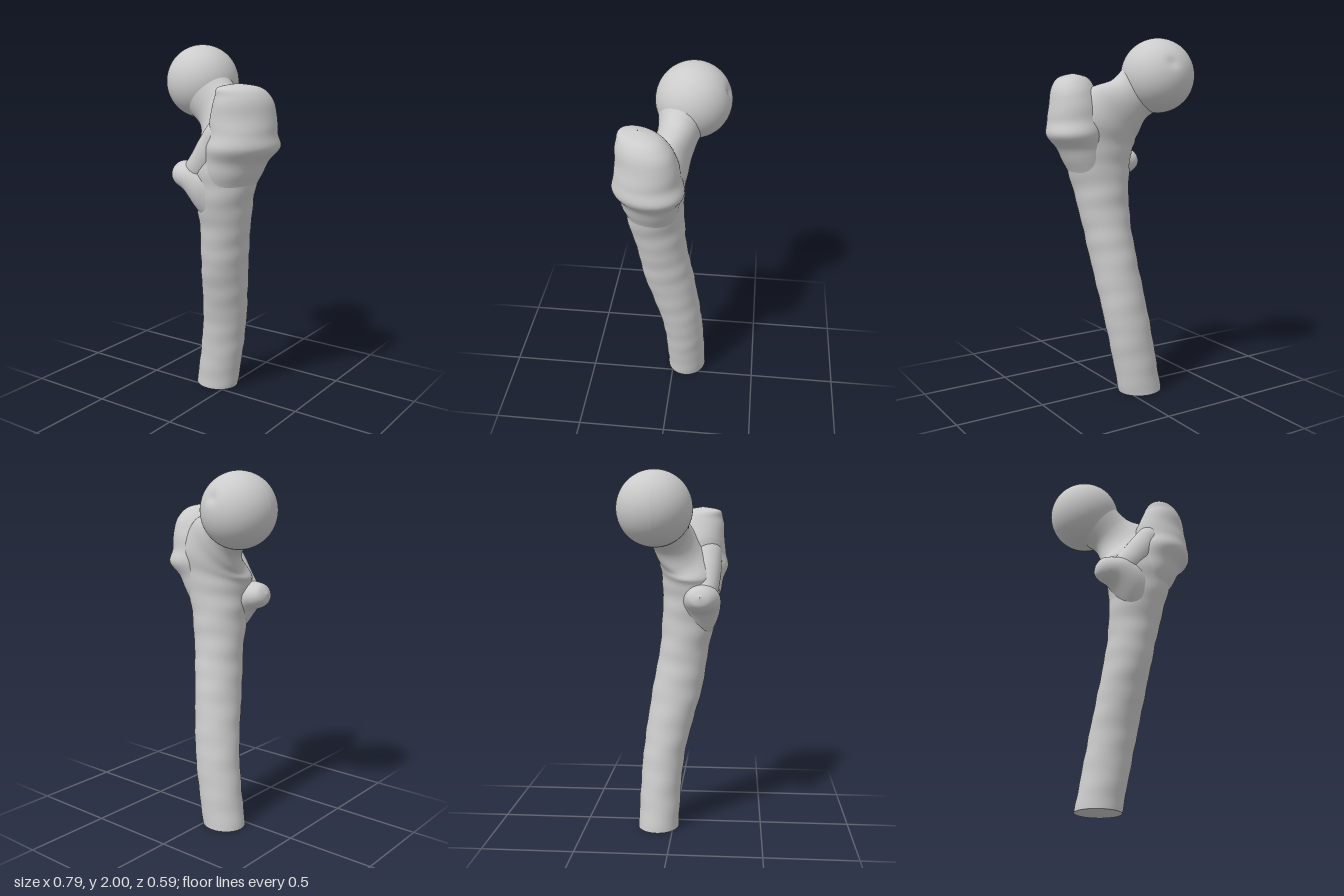
import * as THREE from 'three';

const material = new THREE.MeshStandardMaterial({ color: 0xcccccc });

// Smooth interpolation of a whole section (position, radii, yaw, tilt) at once
function sampleSection(sections, t) {
  const n = sections.length - 1;
  const i = Math.min(Math.floor(t * n), n - 1);
  const u = t * n - i;
  const at = (k) => sections[THREE.MathUtils.clamp(k, 0, n)];
  const [p0, p1, p2, p3] = [at(i - 1), at(i), at(i + 1), at(i + 2)];
  return p1.map((v, k) => {
    const m1 = (p2[k] - p0[k]) / 2, m2 = (p3[k] - v) / 2, d = p2[k] - v;
    return v + u * (m1 + u * (3 * d - 2 * m1 - m2 + u * (m1 + m2 - 2 * d)));
  });
}

// Loft through elliptical sections: [x, y, z, radiusA, radiusB, yaw, tilt]
function loft(name, sections, rings, ripple = 0.008, sides = 56) {
  const positions = [], indices = [];
  const euler = new THREE.Euler(0, 0, 0, 'ZYX');
  const point = new THREE.Vector3();
  for (let i = 0; i <= rings; i++) {
    const [x, y, z, a, b, yaw, tilt] = sampleSection(sections, i / rings);
    euler.set(0, yaw, tilt);
    for (let j = 0; j < sides; j++) {
      const angle = (j / sides) * Math.PI * 2;
      // Faint uneven bands across the bone
      const wave = Math.sin(y * 52 + 1.5 * Math.sin(angle)) + Math.sin(y * 31 + 2 * angle);
      const s = 1 + ripple * wave;
      point.set(Math.cos(angle) * a * s, 0, Math.sin(angle) * b * s).applyEuler(euler);
      positions.push(point.x + x, point.y + y, point.z + z);
      if (i < rings) {
        const k = i * sides + j, next = i * sides + ((j + 1) % sides);
        indices.push(k, k + sides, next, next, k + sides, next + sides);
      }
    }
  }
  // Flat cap at the start, with its own vertices for a sharp rim
  const cap = positions.length / 3;
  positions.push(...positions.slice(0, sides * 3), ...sections[0].slice(0, 3));
  for (let j = 0; j < sides; j++) indices.push(cap + sides, cap + j, cap + ((j + 1) % sides));

  const geometry = new THREE.BufferGeometry();
  geometry.setAttribute('position', new THREE.Float32BufferAttribute(positions, 3));
  geometry.setIndex(indices);
  geometry.computeVertexNormals();
  const mesh = new THREE.Mesh(geometry, material);
  mesh.name = name;
  return mesh;
}

// Ball of the joint, with a shallow pit
function createHead() {
  const geometry = new THREE.SphereGeometry(0.204, 64, 48);
  const pit = new THREE.Vector3(0.15, 0.35, -0.92).normalize();
  const position = geometry.attributes.position;
  const v = new THREE.Vector3();
  for (let i = 0; i < position.count; i++) {
    v.fromBufferAttribute(position, i);
    const distance = v.angleTo(pit);
    v.multiplyScalar(1 - 0.06 * Math.exp(-((distance / 0.15) ** 2)));
    position.setXYZ(i, v.x, v.y, v.z);
  }
  geometry.computeVertexNormals();
  const mesh = new THREE.Mesh(geometry, material);
  mesh.name = 'head';
  mesh.position.set(-0.195, 1.796, -0.092);
  return mesh;
}

export function createModel() {
  const group = new THREE.Group();
  group.name = 'upperThighBone';

  // Shaft sweeping up and over into the neck
  group.add(loft('shaftAndNeck', [
    [-0.09, 0, -0.085, 0.127, 0.115, 0, 0],
    [-0.022, 0.4, -0.06, 0.132, 0.12, 0, 0],
    [0.033, 0.8, 0.017, 0.133, 0.143, 0, 0],
    [0.058, 1.0, 0.05, 0.142, 0.14, 0, 0],
    [0.075, 1.2, 0.08, 0.165, 0.155, 0, 0],
    [0.09, 1.38, 0.088, 0.205, 0.162, 0, 0.1],
    [0.09, 1.5, 0.065, 0.23, 0.155, 0, 0.35],
    [0.03, 1.6, 0.01, 0.195, 0.12, 0, 0.7],
    [-0.05, 1.67, -0.03, 0.145, 0.115, 0, 0.85],
    [-0.14, 1.75, -0.07, 0.16, 0.16, 0, 0.9],
  ], 140));

  group.add(createHead());

  // Large outer knob, widest at a low ridge
  const turn = 0.93;
  group.add(loft('greaterTrochanter', [
    [0.1, 1.2, 0.09, 0.12, 0.12, turn, 0],
    [0.14, 1.31, 0.1, 0.155, 0.135, turn, 0],
    [0.17, 1.4, 0.105, 0.175, 0.148, turn, 0],
    [0.21, 1.48, 0.105, 0.2, 0.17, turn, 0],
    [0.21, 1.56, 0.105, 0.185, 0.16, turn, 0],
    [0.215, 1.66, 0.11, 0.175, 0.142, turn, 0],
    [0.22, 1.74, 0.125, 0.152, 0.115, turn, 0],
    [0.208, 1.79, 0.145, 0.115, 0.075, turn, 0],
    [0.205, 1.81, 0.15, 0.001, 0.001, turn, 0],
  ], 72));

  // Small inner knob
  group.add(loft('lesserTrochanter', [
    [0.08, 1.22, 0.1, 0.2, 0.13, 0, 1.3],
    [0, 1.25, 0.13, 0.145, 0.125, 0, 1.3],
    [-0.08, 1.3, 0.155, 0.092, 0.105, 0, 1.3],
    [-0.15, 1.315, 0.155, 0.072, 0.085, 0, 1.3],
    [-0.19, 1.325, 0.15, 0.048, 0.055, 0, 1.3],
    [-0.208, 1.327, 0.15, 0.001, 0.001, 0, 1.3],
  ], 48, 0.004));

  // Ridge joining the two knobs
  group.add(loft('crest', [
    [-0.07, 1.3, 0.16, 0.08, 0.07, 0, -0.6],
    [0, 1.38, 0.17, 0.085, 0.08, 0, -0.6],
    [0.07, 1.48, 0.175, 0.085, 0.085, 0, -0.6],
    [0.13, 1.58, 0.17, 0.07, 0.08, 0, -0.6],
    [0.19, 1.66, 0.16, 0.001, 0.001, 0, -0.6],
  ], 40, 0.004));

  return group;
}
